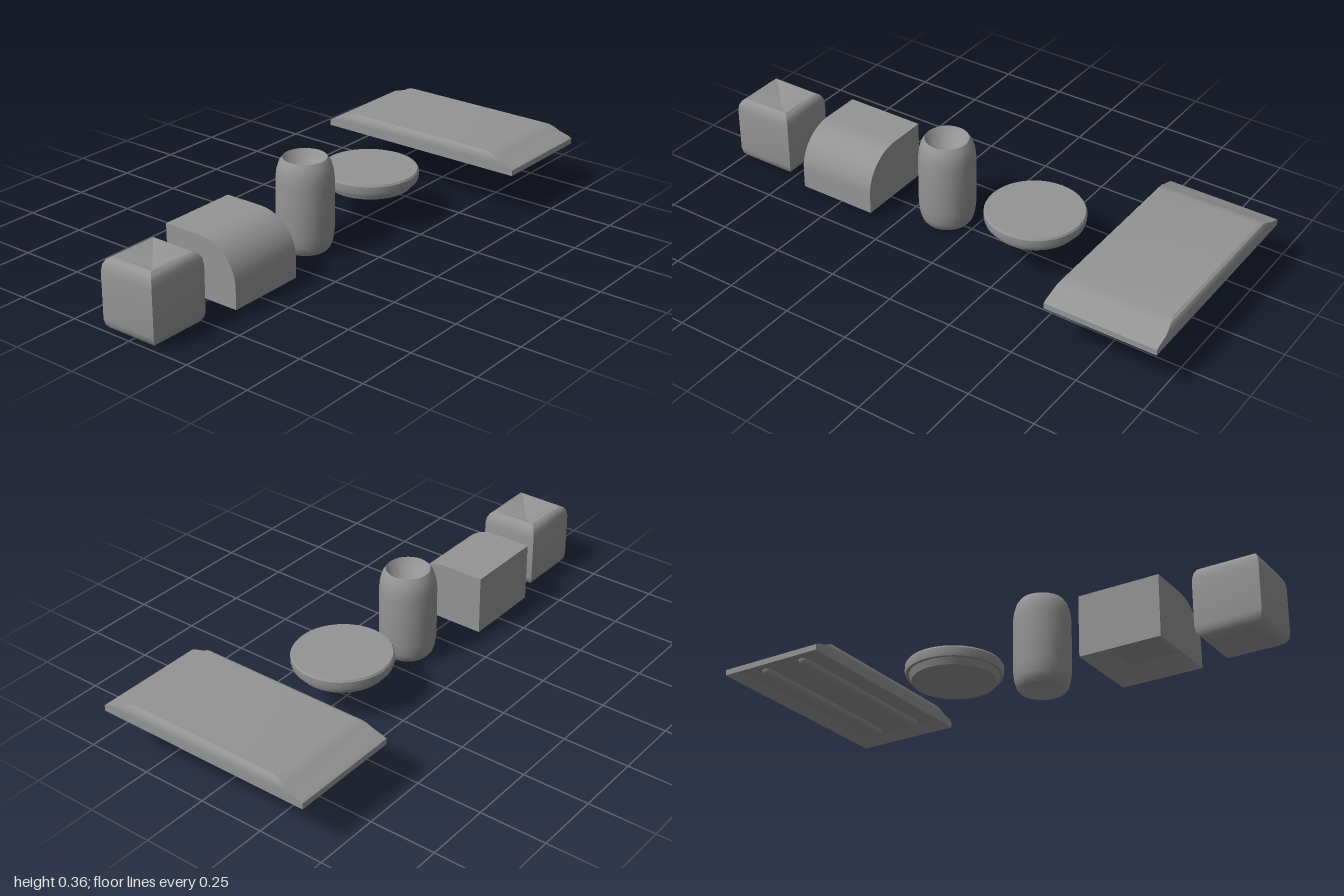
import * as THREE from 'three';
import { toCreasedNormals } from 'three/addons/utils/BufferGeometryUtils.js';

const grey = new THREE.MeshStandardMaterial({ color: 0x949494 });
grey.name = 'grey';

// Stacks rectangular rings [half width, back z, front z, y] along a closed path
function loft(rings, crease) {
  const pos = [];
  const rows = rings.map(([h, z0, z1, y]) => [[h, y, z1], [h, y, z0], [-h, y, z0], [-h, y, z1]]);
  for (let i = 0; i < rows.length - 1; i++) {
    for (let j = 0; j < 4; j++) {
      const k = (j + 1) % 4;
      const a = rows[i][j], b = rows[i][k], c = rows[i + 1][k], d = rows[i + 1][j];
      if (rings[i][0] > 0) pos.push(...a, ...b, ...c);
      else { pos.push(...a, ...c, ...d); continue; }
      if (rings[i + 1][0] > 0) pos.push(...a, ...c, ...d);
    }
  }
  const g = new THREE.BufferGeometry();
  g.setAttribute('position', new THREE.Float32BufferAttribute(pos, 3));
  return toCreasedNormals(g, crease);
}

function lathe(points, crease) {
  const g = new THREE.LatheGeometry(points.map(([r, y]) => new THREE.Vector2(r, y)), 40);
  return toCreasedNormals(g, crease);
}

export function createModel() {
  const model = new THREE.Group();
  const add = (name, geometry, x, parent = model) => {
    const mesh = new THREE.Mesh(geometry, grey);
    mesh.name = name;
    mesh.position.x = x;
    parent.add(mesh);
    return mesh;
  };
  const symmetric = (list) => list.map(([hx, hz, y]) => [hx, -hz, hz, y]);

  // Square block with rounded ends and dished top and bottom
  add('squareBlock', loft(symmetric([
    [0, 0, 0.05], [0.09, 0.083, 0], [0.106, 0.098, 0.01], [0.117, 0.108, 0.024], [0.121, 0.112, 0.045],
    [0.121, 0.112, 0.215], [0.117, 0.108, 0.24], [0.108, 0.1, 0.256], [0.093, 0.086, 0.265], [0, 0, 0.215],
  ]), 0.75), -0.879);

  // Block with a quarter-round front edge and a recess below
  const hood = [[0, 0, 0, 0.07], [0.095, -0.09, 0.095, 0.07], [0.155, -0.152, 0.153, 0.022]];
  for (let i = 0; i <= 12; i++) {
    const a = (i / 12) * Math.PI / 2;
    hood.push([0.155, -0.152, 0.153 * Math.cos(a), 0.1 + 0.15 * Math.sin(a)]);
  }
  hood.push([0, -0.076, -0.076, 0.25]);
  add('curvedBlock', loft(hood, 0.4), -0.5);

  // Barrel with dished ends
  add('barrel', lathe([
    [0, 0.07], [0.045, 0.055], [0.083, 0.01], [0.093, 0.022], [0.1, 0.045], [0.105, 0.085],
    [0.105, 0.275], [0.101, 0.31], [0.093, 0.337], [0.08, 0.356], [0.055, 0.315], [0, 0.295],
  ], 0.8), -0.107);

  // Round lid with a stepped rim
  add('roundLid', lathe([
    [0, 0.132], [0.157, 0.132], [0.167, 0.157], [0.179, 0.157], [0.182, 0.168],
    [0.182, 0.19], [0.177, 0.197], [0, 0.197],
  ], 0.5), 0.27);

  // Long slab with tapered ends and a hollow underside
  const slab = new THREE.Group();
  slab.name = 'slab';
  slab.position.x = 0.785;
  model.add(slab);
  add('slabShell', loft(symmetric([
    [0, 0, 0.192], [0.17, 0.385, 0.192], [0.21, 0.427, 0.17], [0.21, 0.427, 0.192], [0.21, 0.415, 0.199],
    [0.21, 0.372, 0.211], [0.207, 0.35, 0.223], [0.202, 0.33, 0.231], [0.192, 0.3, 0.236], [0, 0, 0.236],
  ]), 0.45), 0, slab);

  // Pair of ribs under the slab
  for (const side of [-1, 1]) {
    const rib = add('slabRib', new THREE.CapsuleGeometry(0.02, 0.68, 4, 16), side * 0.085, slab);
    rib.rotation.x = Math.PI / 2;
    rib.position.y = 0.193;
  }
  return model;
}
